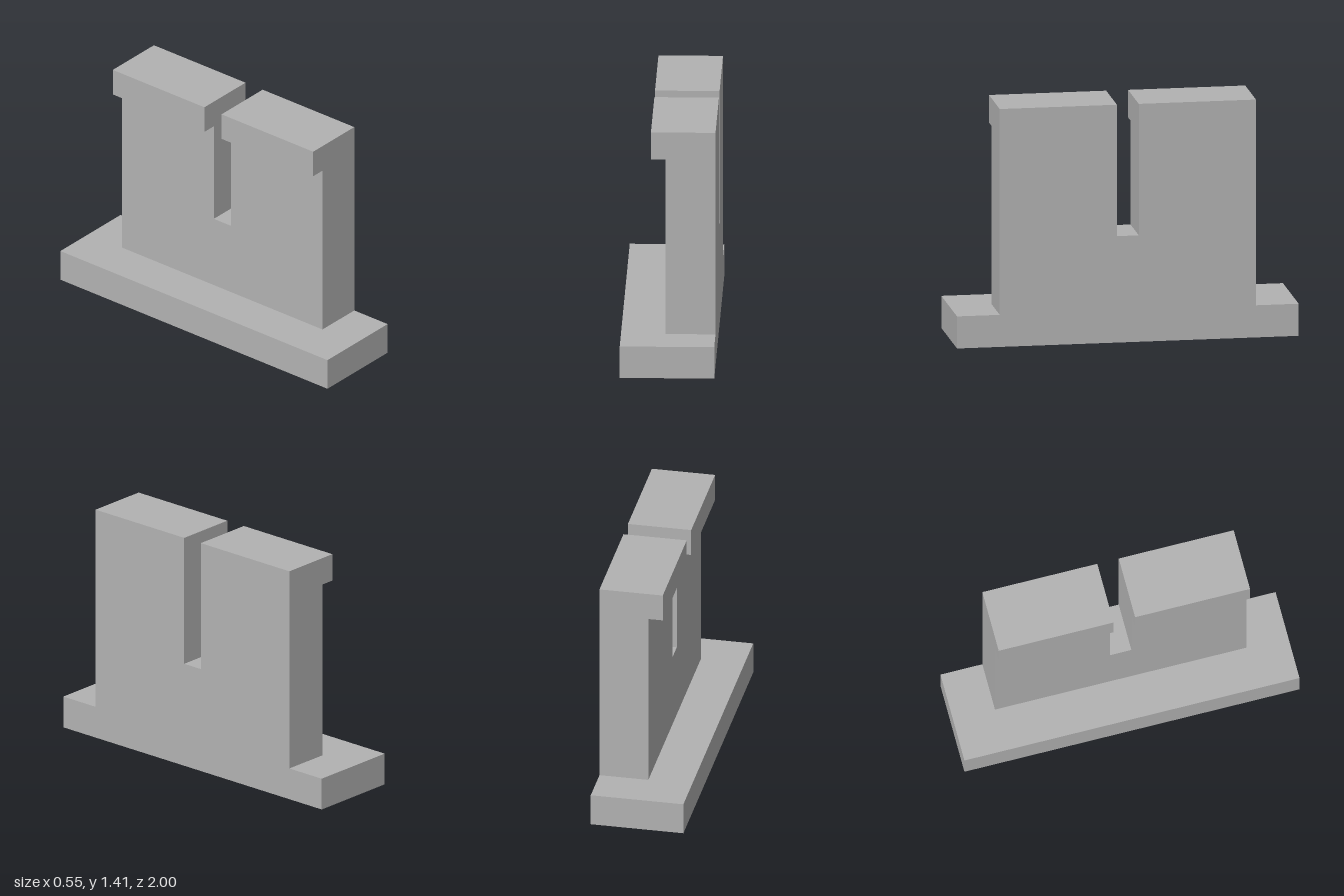
import * as THREE from 'three';

export function createModel() {
  const model = new THREE.Group();
  model.name = 'slottedBracket';
  const grey = new THREE.MeshStandardMaterial({ color: 0xb2b2b2 });
  grey.name = 'plain grey';

  const back = 0.273, wallFace = -0.015, lipFace = -0.1;
  const baseTop = 0.19, top = 1.408, lipBottom = 1.245;
  const halfWall = 0.75, halfSlot = 0.064, slotBottom = 0.63;

  // Box given by its minimum and maximum corners
  function addBox(name, [x0, y0, z0], [x1, y1, z1]) {
    const mesh = new THREE.Mesh(new THREE.BoxGeometry(x1 - x0, y1 - y0, z1 - z0), grey);
    mesh.position.set((x0 + x1) / 2, (y0 + y1) / 2, (z0 + z1) / 2);
    mesh.name = name;
    model.add(mesh);
  }

  // Long foot plate
  addBox('base', [-back, 0, -1], [back, baseTop, 1]);

  // Upright wall with an open slot, extruded across its thickness
  const outline = new THREE.Shape([
    [-halfWall, baseTop], [halfWall, baseTop], [halfWall, top], [halfSlot, top],
    [halfSlot, slotBottom], [-halfSlot, slotBottom], [-halfSlot, top], [-halfWall, top],
  ].map(([z, y]) => new THREE.Vector2(z, y)));
  const wallGeometry = new THREE.ExtrudeGeometry(outline, { depth: back - wallFace, bevelEnabled: false });
  wallGeometry.rotateY(Math.PI / 2);
  const wall = new THREE.Mesh(wallGeometry, grey);
  wall.position.x = wallFace;
  wall.name = 'slottedWall';
  model.add(wall);

  // Overhanging lip on each side of the slot
  addBox('frontLip', [lipFace, lipBottom, halfSlot], [wallFace, top, halfWall]);
  addBox('backLip', [lipFace, lipBottom, -halfWall], [wallFace, top, -halfSlot]);

  return model;
}
